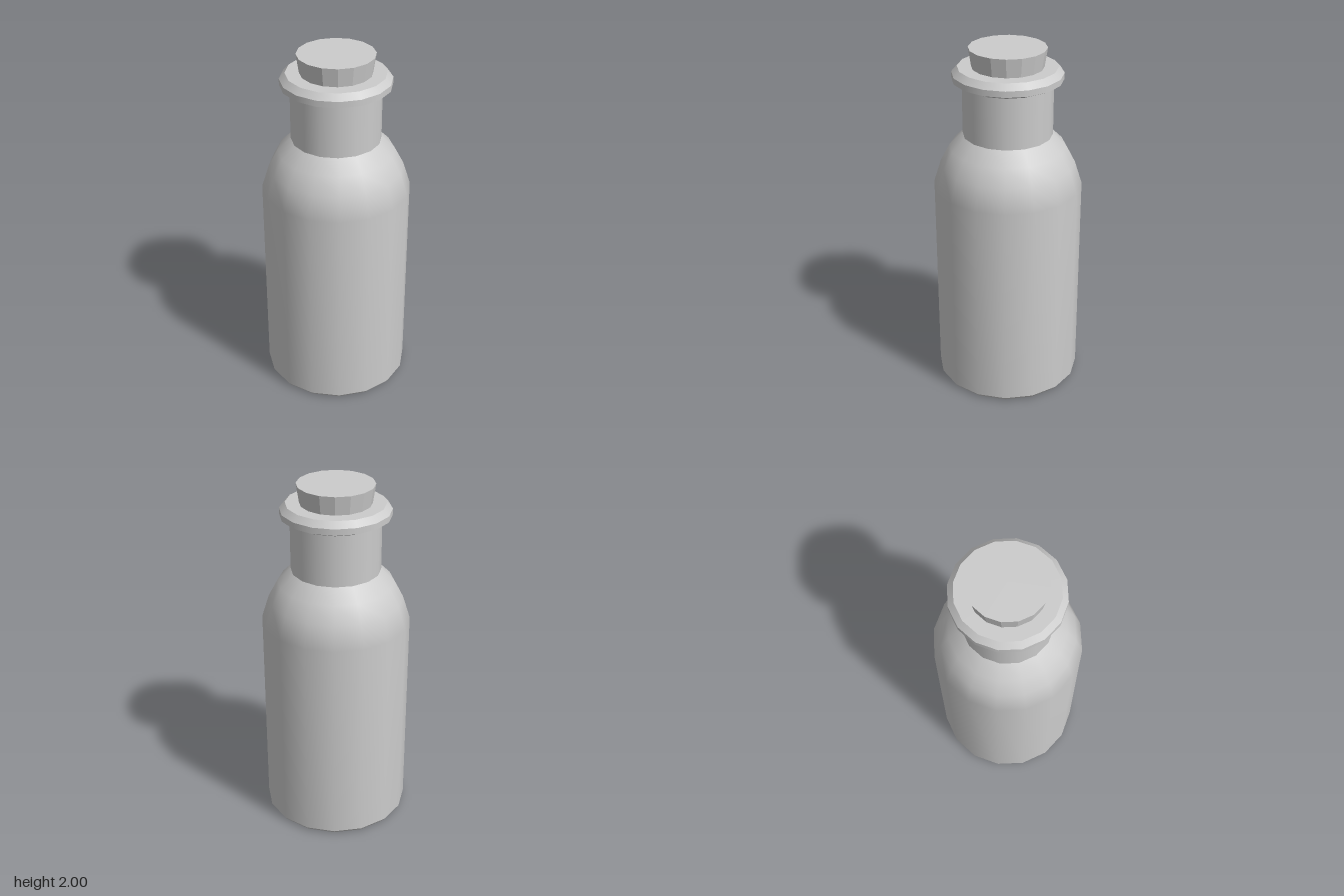
import * as THREE from 'three';

const SIDES = 16;
const TURN = THREE.MathUtils.degToRad(14.1);

export function createModel() {
  const group = new THREE.Group();
  const smooth = new THREE.MeshStandardMaterial({ color: 0xcccccc });
  const faceted = new THREE.MeshStandardMaterial({ color: 0xcccccc, flatShading: true });

  // Turns a [radius, height] profile, listed from bottom to top, around the y axis
  const profileMesh = (profile, material) => {
    const points = profile.map(([r, y]) => new THREE.Vector2(r, y));
    return new THREE.Mesh(new THREE.LatheGeometry(points, SIDES, TURN), material);
  };

  // Each band is its own lathe, so the edges between bands stay sharp
  const addPart = (name, bands, material = smooth) => {
    const part = new THREE.Group();
    part.name = name;
    bands.forEach((band) => part.add(profileMesh(band, material)));
    group.add(part);
  };

  // Flat base with a small bevel
  addPart('base', [
    [[0, 0], [0.398, 0]],
    [[0.398, 0], [0.414, 0.02]],
  ]);

  // Straight body flowing into the rounded shoulder
  addPart('body', [
    [[0.414, 0.02], [0.414, 1.215], [0.373, 1.345], [0.322, 1.44], [0.248, 1.513]],
  ]);

  addPart('neck', [[[0.248, 1.513], [0.248, 1.803]]]);

  // Bevelled lip with a flat top reaching in to the stopper
  addPart('lip', [
    [[0.248, 1.803], [0.303, 1.828]],
    [[0.303, 1.828], [0.303, 1.862]],
    [[0.303, 1.862], [0.272, 1.895]],
    [[0.272, 1.895], [0.19, 1.895]],
  ]);

  // Tapered stopper
  addPart('stopper', [
    [[0, 1.8], [0.182, 1.8], [0.212, 2], [0, 2]],
  ], faceted);

  return group;
}
